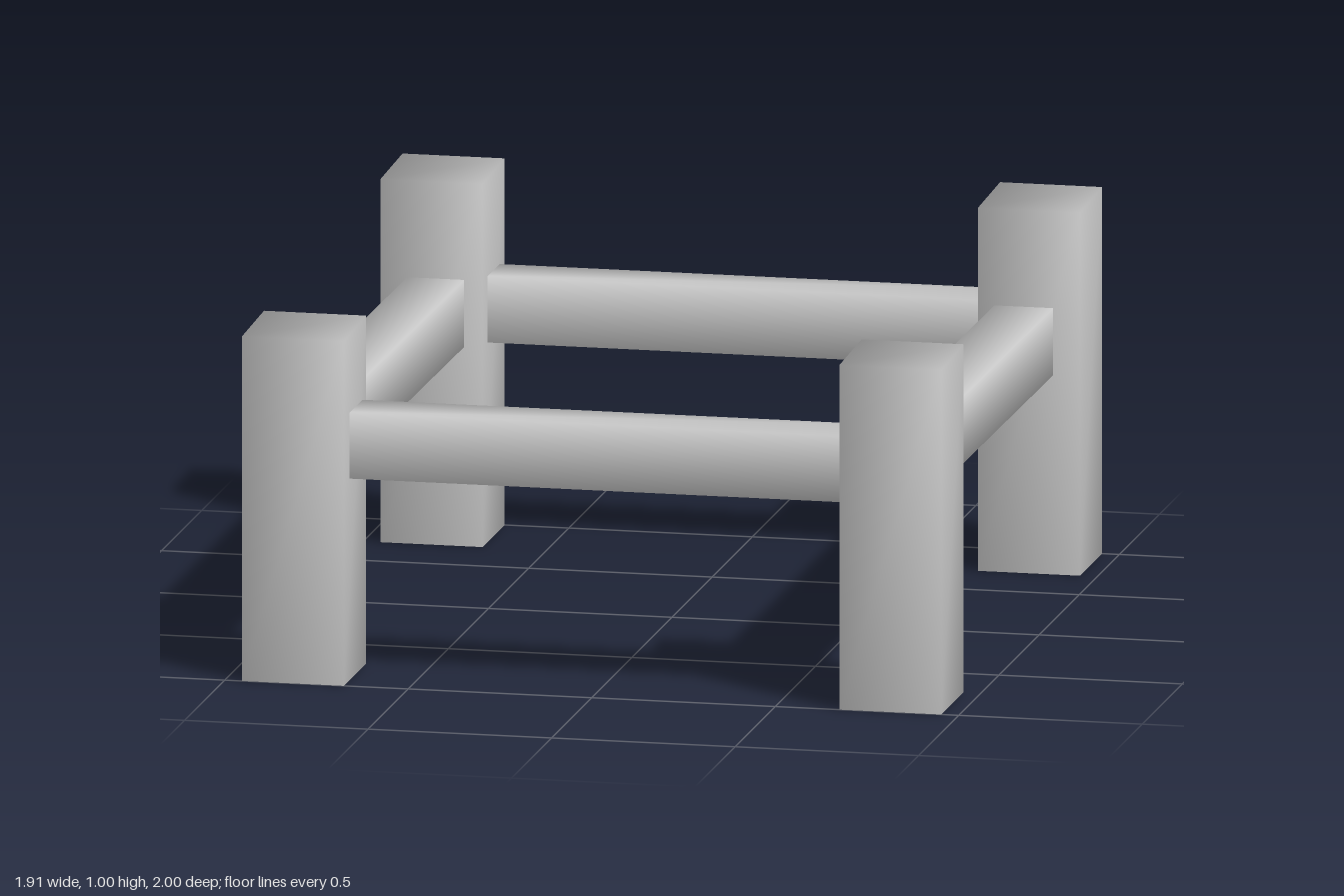
import * as THREE from 'three';
import { mergeVertices } from 'three/addons/utils/BufferGeometryUtils.js';

const material = new THREE.MeshStandardMaterial({ color: 0xcccccc });

// Box between two corners with shared, smooth normals; rule(v) may move its corners.
function softBox(name, min, max, rule) {
  const size = max.map((m, i) => m - min[i]);
  let geo = new THREE.BoxGeometry(...size);
  geo.translate(...max.map((m, i) => (m + min[i]) / 2));
  geo.deleteAttribute('normal');
  geo.deleteAttribute('uv');
  geo = mergeVertices(geo);
  const pos = geo.attributes.position;
  const v = new THREE.Vector3();
  for (let i = 0; i < pos.count; i++) {
    v.fromBufferAttribute(pos, i);
    rule(v);
    pos.setXYZ(i, v.x, v.y, v.z);
  }
  geo.computeVertexNormals();
  const mesh = new THREE.Mesh(geo, material);
  mesh.name = name;
  return mesh;
}

export function createModel() {
  const group = new THREE.Group();
  group.name = 'frame';

  // Posts: the back pair is taller, all tops fall slightly toward the front
  const slopeTop = (v) => {
    if (v.y > 0.5) v.y -= 0.035 * v.z;
  };
  for (const [side, x0, x1] of [['right', -0.953, -0.675], ['left', 0.675, 0.953]]) {
    group.add(softBox(side + 'FrontPost', [x0, 0, 0.725], [x1, 0.975, 1], slopeTop));
    group.add(softBox(side + 'BackPost', [x0, 0, -1], [x1, 0.965, -0.725], slopeTop));
  }

  // Rails: the side pair rises a little toward the front
  const level = () => {};
  const rise = (v) => { v.y += 0.005 * v.z; };
  group.add(softBox('frontRail', [-0.8, 0.55, 0.77], [0.8, 0.73, 0.93], level));
  group.add(softBox('backRail', [-0.8, 0.545, -0.94], [0.8, 0.725, -0.785], level));
  group.add(softBox('rightRail', [-0.88, 0.547, -0.86], [-0.725, 0.73, 0.85], rise));
  group.add(softBox('leftRail', [0.72, 0.547, -0.86], [0.88, 0.73, 0.85], rise));
  return group;
}
